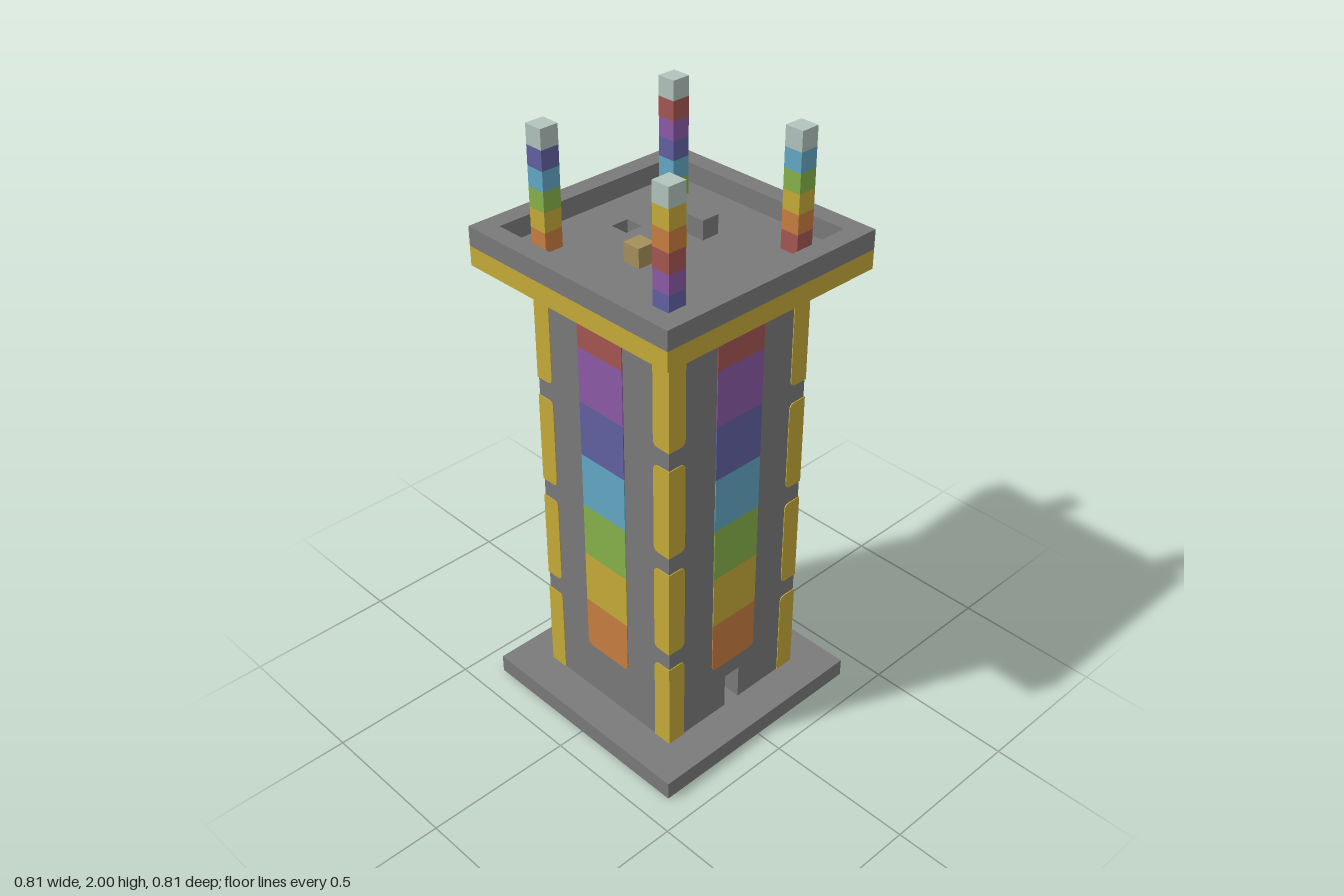
import * as THREE from 'three';

const U = 1 / 16; // one block

function makeMaterials() {
  const colors = {
    stoneGrey: 0x7a7a7a, yellow: 0xc6ab38, orange: 0xc87e41, green: 0x87b24a, blue: 0x62a8c5,
    indigo: 0x6161a3, purple: 0x8c5aa8, red: 0xa55653, paleWhite: 0xb2c3bd, tan: 0xa5905b,
  };
  const mats = {};
  for (const [name, color] of Object.entries(colors)) {
    mats[name] = new THREE.MeshStandardMaterial({ color });
    mats[name].name = name;
  }
  return mats;
}

function add(parent, name, geometry, material, x = 0, y = 0, z = 0) {
  const mesh = new THREE.Mesh(geometry, material);
  mesh.name = name;
  mesh.position.set(x, y, z);
  parent.add(mesh);
  return mesh;
}

// Box measured in blocks, standing on height y (blocks)
function block(parent, name, material, w, h, d, x, y, z) {
  return add(parent, name, new THREE.BoxGeometry(w * U, h * U, d * U), material,
    x * U, (y + h / 2) * U, z * U);
}

// Rectangle outline with one radius per corner: bl, br, tr, tl
function rect(Type, x0, y0, x1, y1, [bl, br, tr, tl] = [0, 0, 0, 0]) {
  const s = new Type();
  s.moveTo(x0 + bl, y0);
  s.lineTo(x1 - br, y0);
  if (br) s.quadraticCurveTo(x1, y0, x1, y0 + br);
  s.lineTo(x1, y1 - tr);
  if (tr) s.quadraticCurveTo(x1, y1, x1 - tr, y1);
  s.lineTo(x0 + tl, y1);
  if (tl) s.quadraticCurveTo(x0, y1, x0, y1 - tl);
  s.lineTo(x0, y0 + bl);
  if (bl) s.quadraticCurveTo(x0, y0, x0 + bl, y0);
  return s;
}

const extrude = (shape, depth) =>
  new THREE.ExtrudeGeometry(shape, { depth, bevelEnabled: false, curveSegments: 4 });

// Flat square slab with a rectangular opening, one block thick
function slab(parent, name, material, half, hole, y) {
  const s = rect(THREE.Shape, -half * U, -half * U, half * U, half * U);
  s.holes.push(rect(THREE.Path, ...hole.map((v) => v * U)));
  add(parent, name, extrude(s, U).rotateX(-Math.PI / 2), material, 0, y * U, 0);
}

export function createModel() {
  const model = new THREE.Group();
  model.name = 'tower';
  const m = makeMaterials();
  const T = 0.003; // painted plate thickness
  const R = 0.02;

  block(model, 'base', m.stoneGrey, 13, 1, 13, 0, 0, 0);

  // Four walls; only the front one has a doorway
  for (let i = 0; i < 4; i++) {
    const side = new THREE.Group();
    side.name = ['frontWall', 'leftWall', 'backWall', 'rightWall'][i];
    side.rotation.y = i * Math.PI / 2;
    model.add(side);
    const half = (i % 2 ? 3.5 : 4.5) * U;
    const wall = rect(THREE.Shape, -half, U, half, 25 * U);
    if (i === 0) wall.holes.push(rect(THREE.Path, -U / 2, U + 0.0001, U / 2, 3 * U));
    add(side, 'wall', extrude(wall, U), m.stoneGrey, 0, 0, 3.5 * U);

    // Rainbow panel, bottom to top
    const bands = [['orange', 4, 7], ['yellow', 7, 10], ['green', 10, 13], ['blue', 13, 16],
      ['indigo', 16, 19], ['purple', 19, 22], ['red', 22, 24]];
    for (const [color, y0, y1] of bands) {
      const b = color === 'orange' ? R : 0;
      const t = color === 'red' ? R : 0;
      const shape = rect(THREE.Shape, -1.5 * U, y0 * U, 1.5 * U, y1 * U, [b, b, t, t]);
      add(side, color + 'Band', extrude(shape, T), m[color], 0, 0, 4.5 * U);
    }

    // Yellow corner strips, rounded on the inner edge
    for (const [y0, y1] of [[1, 6], [7, 12], [13, 18], [19, 24]]) {
      const b = y0 === 1 ? 0 : R;
      const a = 3.5 * U, c = 4.5 * U + T;
      const right = rect(THREE.Shape, a, y0 * U, c, y1 * U, [b, 0, 0, R]);
      const left = rect(THREE.Shape, -c, y0 * U, -a, y1 * U, [0, b, R, 0]);
      for (const shape of [left, right]) {
        add(side, 'cornerStrip', extrude(shape, T), m.yellow, 0, 0, 4.5 * U);
      }
    }
  }

  // Ladder inside, against the back wall under the hatch
  block(model, 'ladder', m.tan, 1, 24, 1, 0, 1, -3);

  // Roof: floor with hatch, yellow border, grey parapet
  slab(model, 'roofFloor', m.stoneGrey, 5.5, [-0.5, 2.5, 0.5, 3.5], 25);
  slab(model, 'roofBorder', m.yellow, 6.5, [-5.5, -5.5, 5.5, 5.5], 25);
  slab(model, 'parapet', m.stoneGrey, 6.5, [-5.5, -5.5, 5.5, 5.5], 26);

  // Small blocks on the roof
  block(model, 'beaconBase', m.yellow, 1, 1, 1, 0, 26, 0);
  block(model, 'beaconTop', m.paleWhite, 1, 1, 1, 0, 27, 0);
  block(model, 'tanBlock', m.tan, 1, 1, 1, -2, 26, 0);
  block(model, 'greyBlock', m.stoneGrey, 1, 1, 1, 2, 26, 0);

  // Corner poles cycle through the rainbow and end in a pale cap
  const cycle = ['red', 'orange', 'yellow', 'green', 'blue', 'indigo', 'purple'];
  for (const [x, z, start] of [[4, 4, 0], [-4, -4, 1], [4, -4, 3], [-4, 4, 5]]) {
    const pole = new THREE.Group();
    pole.name = 'cornerPole';
    model.add(pole);
    for (let k = 0; k < 6; k++) {
      const color = k === 5 ? 'paleWhite' : cycle[(start + k) % 7];
      block(pole, 'poleSegment', m[color], 1, 1, 1, x, 26 + k, z);
    }
  }
  return model;
}
